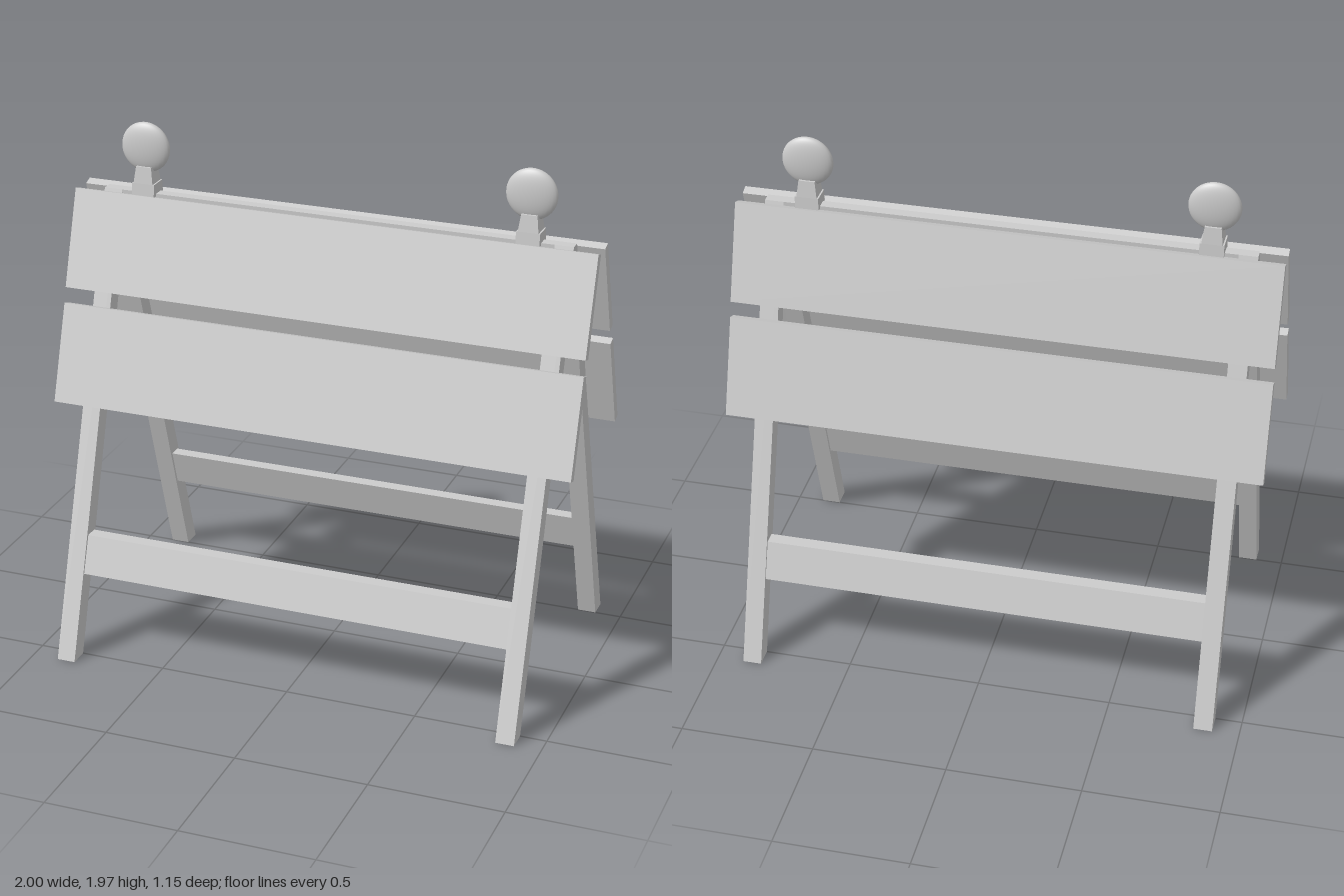
import * as THREE from 'three';

const material = new THREE.MeshStandardMaterial({ color: 0xcccccc });

function addMesh(parent, name, geometry) {
  const mesh = new THREE.Mesh(geometry, material);
  mesh.name = name;
  parent.add(mesh);
  return mesh;
}

// Extrudes a (z, y) profile along x, centred on x = 0.
function alongX(profile, length) {
  const shape = new THREE.Shape(profile.map(([z, y]) => new THREE.Vector2(z, y)));
  const geometry = new THREE.ExtrudeGeometry(shape, { depth: length, bevelEnabled: false });
  geometry.translate(0, 0, -length / 2);
  geometry.rotateY(-Math.PI / 2);
  return geometry;
}

// Square frustum with separate half widths in x and z at bottom and top.
function frustum(bottom, top, y0, y1) {
  const geometry = new THREE.BoxGeometry(2, 1, 2).toNonIndexed();
  const p = geometry.attributes.position;
  for (let i = 0; i < p.count; i++) {
    const [hx, hz] = p.getY(i) > 0 ? top : bottom;
    p.setXYZ(i, p.getX(i) * hx, p.getY(i) > 0 ? y1 : y0, p.getZ(i) * hz);
  }
  geometry.computeVertexNormals();
  return geometry;
}

export function createModel() {
  const model = new THREE.Group();
  model.name = 'barricade';

  // A-shaped end frames
  const frame = [[0.575, 0], [0.02, 1.7], [-0.02, 1.7], [-0.575, 0],
    [-0.5, 0], [-0.02, 1.5], [0.02, 1.5], [0.5, 0]];
  for (const side of [1, -1]) {
    const legs = addMesh(model, side > 0 ? 'leftLegs' : 'rightLegs', alongX(frame, 0.07));
    legs.position.x = side * 0.865;
  }

  // Ridge rail between the frames
  addMesh(model, 'topRail', alongX([[-0.02, 1.5], [0.02, 1.5], [0.02, 1.7], [-0.02, 1.7]], 1.67));

  // Warning boards and lower crossbars on both slopes
  const upper = [[0.061, 1.7], [0.027, 1.689], [0.143, 1.337], [0.178, 1.348]];
  const lower = [[0.193, 1.291], [0.159, 1.28], [0.275, 0.927], [0.31, 0.938]];
  const bar = [[0.415, 0.46], [0.365, 0.46], [0.41, 0.32], [0.463, 0.32]];
  for (const [label, s] of [['front', 1], ['back', -1]]) {
    const flip = (profile) => profile.map(([z, y]) => [z * s, y]);
    addMesh(model, label + 'UpperBoard', alongX(flip(upper), 2));
    addMesh(model, label + 'LowerBoard', alongX(flip(lower), 2));
    addMesh(model, label + 'Crossbar', alongX(flip(bar), 1.67));
  }

  // Warning lamps: block, tapered neck and flattened lens
  for (const side of [1, -1]) {
    const lamp = new THREE.Group();
    lamp.name = side > 0 ? 'leftLamp' : 'rightLamp';
    lamp.position.x = side * 0.737;
    addMesh(lamp, 'lampBase', frustum([0.044, 0.042], [0.044, 0.037], 1.69, 1.738));
    addMesh(lamp, 'lampNeck', frustum([0.038, 0.037], [0.03, 0.028], 1.738, 1.8));
    const lens = addMesh(lamp, 'lampLens', new THREE.SphereGeometry(0.095, 32, 24));
    lens.scale.z = 0.32;
    lens.position.y = 1.87;
    model.add(lamp);
  }
  return model;
}
